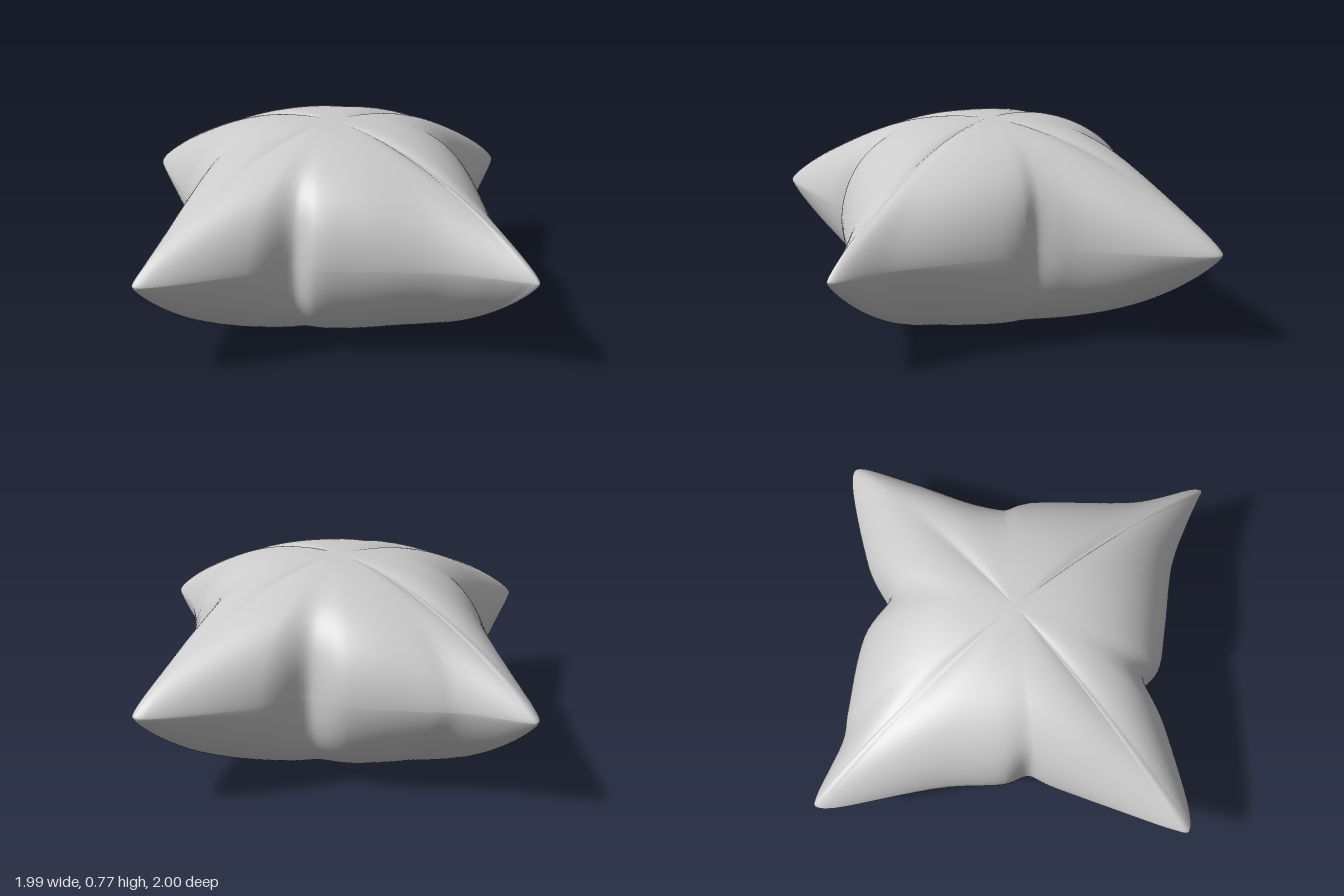
import * as THREE from 'three';

// Seam outline as (x, z), running from the back corner round by +x
const OUTLINE = [
  [-0.25, -1], [-0.22, -0.98], [-0.06, -0.79], [0.03, -0.73], [0.27, -0.55], [0.37, -0.41],
  [0.56, -0.39], [0.96, -0.28], [0.99, -0.25], [0.98, -0.22], [0.83, -0.08], [0.57, 0.12],
  [0.51, 0.2], [0.5, 0.28], [0.31, 0.74], [0.265, 0.98], [0.245, 1], [0.22, 0.97],
  [0.14, 0.87], [0.01, 0.73], [-0.22, 0.57], [-0.37, 0.46], [-0.43, 0.38], [-0.6, 0.36],
  [-0.97, 0.27], [-1, 0.24], [-0.97, 0.2], [-0.8, 0.04], [-0.56, -0.17], [-0.53, -0.2],
  [-0.5, -0.3], [-0.41, -0.51], [-0.28, -0.97],
];
// Pinched places halfway along each side
const NOTCHES = [[0.37, -0.41], [0.505, 0.23], [-0.42, 0.39], [-0.53, -0.21]];
const SEAM_Y = 0.375;
const RINGS = 36;
const SEGMENTS = 264;

// One stuffed half: rings from the middle out to the seam
function panel(sign, height, cornerPower) {
  const curve = new THREE.CatmullRomCurve3(
    OUTLINE.map(([x, z]) => new THREE.Vector3(x, 0, z)), true, 'centripetal');
  const rim = curve.getPoints(SEGMENTS).slice(0, SEGMENTS);
  const positions = [0, Math.min(SEAM_Y + sign * height, 0.772), 0];
  if (sign < 0) positions[1] = Math.max(0, positions[1]);

  for (let j = 1; j <= RINGS; j++) {
    const t = Math.sin((j / RINGS) * Math.PI / 2);
    for (const p of rim) {
      // 0 at the pinched sides, 1 at the pointed corners
      const w = THREE.MathUtils.clamp((p.length() - 0.55) / 0.47, 0, 1);
      const power = THREE.MathUtils.lerp(3, cornerPower, w);
      const round = THREE.MathUtils.lerp(0.5, 1, w);
      const bulge = Math.pow(Math.max(0, 1 - Math.pow(t, power)), round);
      const nub = Math.sqrt(Math.max(0, 1 - Math.pow(t, 12)));
      const h = (height - 0.025) * bulge + 0.025 * nub;
      // Draw the seam inwards at the folds
      let pull = 0;
      for (const [x, z] of NOTCHES) {
        const d = Math.hypot(p.x - x, p.z - z);
        pull += 0.05 * Math.exp(-((d / 0.06) ** 2));
      }
      const r = t * (1 - pull * Math.pow(t, 12));
      positions.push(p.x * r, Math.max(0, SEAM_Y + sign * h), p.z * r);
    }
  }

  const index = [];
  const add = (a, b, c) => (sign > 0 ? index.push(a, c, b) : index.push(a, b, c));
  const at = (j, i) => 1 + (j - 1) * SEGMENTS + (i % SEGMENTS);
  for (let i = 0; i < SEGMENTS; i++) {
    add(0, at(1, i), at(1, i + 1));
    for (let j = 1; j < RINGS; j++) {
      add(at(j, i), at(j + 1, i), at(j + 1, i + 1));
      add(at(j, i), at(j + 1, i + 1), at(j, i + 1));
    }
  }
  const geometry = new THREE.BufferGeometry();
  geometry.setAttribute('position', new THREE.Float32BufferAttribute(positions, 3));
  geometry.setIndex(index);
  geometry.computeVertexNormals();
  return geometry;
}

export function createModel() {
  const pillow = new THREE.Group();
  pillow.name = 'pillow';
  const fabric = new THREE.MeshStandardMaterial({ color: 0xcccccc });

  const top = new THREE.Mesh(panel(1, 0.397, 1.85), fabric);
  top.name = 'topPanel';
  // The underside is fuller and rests flat on the floor
  const bottom = new THREE.Mesh(panel(-1, 0.385, 2.4), fabric);
  bottom.name = 'bottomPanel';

  pillow.add(top, bottom);
  return pillow;
}
